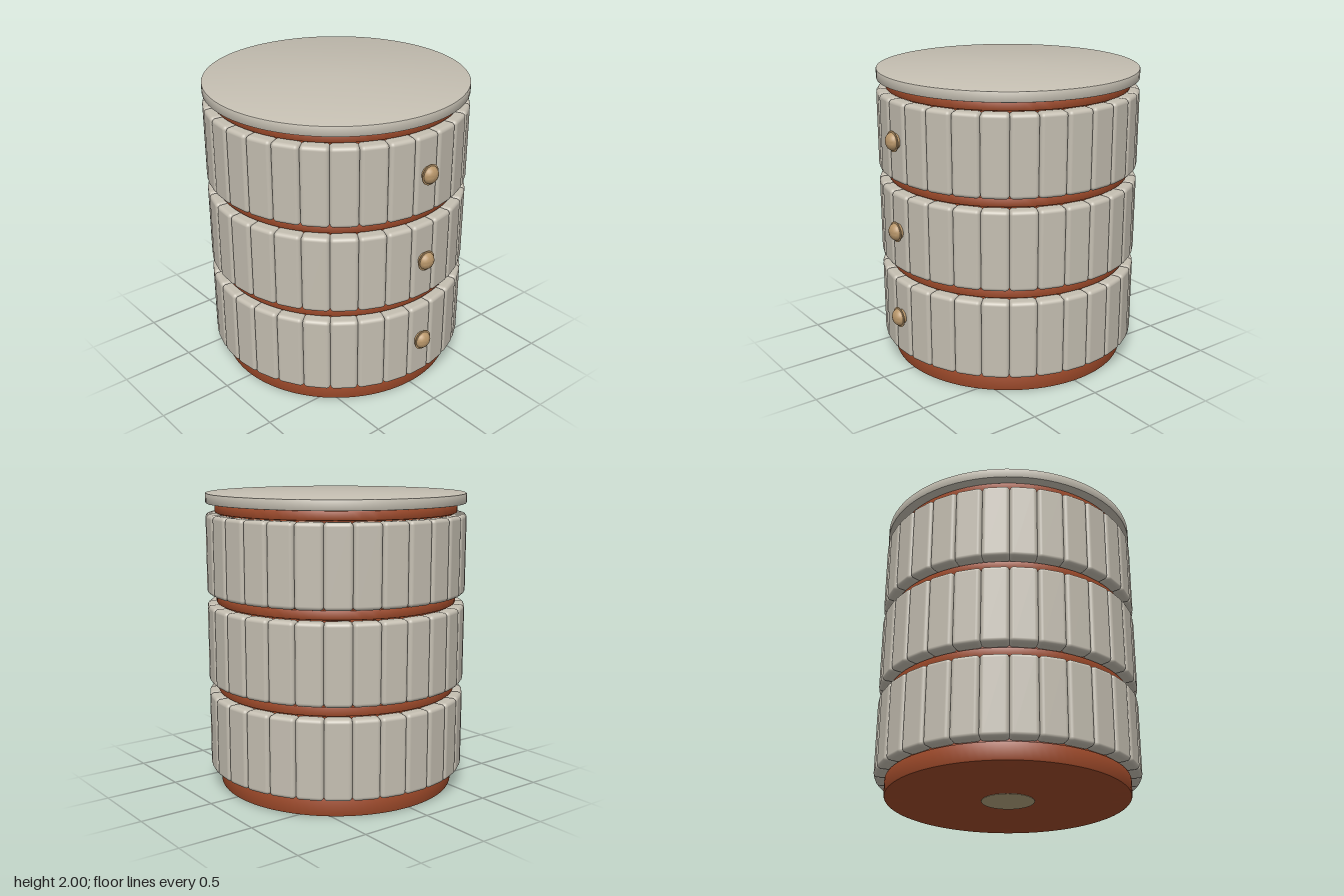
import * as THREE from 'three';
import { RoundedBoxGeometry } from 'three/addons/geometries/RoundedBoxGeometry.js';
import { toCreasedNormals } from 'three/addons/utils/BufferGeometryUtils.js';

const CENTRE_Z = -0.035;
const STAVES = 30;

function material(name, color) {
  const m = new THREE.MeshStandardMaterial({ color });
  m.name = name;
  return m;
}

// Solid disc with a small chamfer on both rims
function disc(radius, bottom, top, bevel) {
  const pts = [
    [0, bottom], [radius - bevel, bottom], [radius - bevel * 0.3, bottom + bevel * 0.3], [radius, bottom + bevel],
    [radius, top - bevel], [radius - bevel * 0.3, top - bevel * 0.3], [radius - bevel, top], [0, top],
  ].map(([x, y]) => new THREE.Vector2(x, y));
  return toCreasedNormals(new THREE.LatheGeometry(pts, 96), 0.6);
}

export function createModel() {
  const group = new THREE.Group();
  const paint = material('warm grey paint', 0xc4beb1);
  const wood = material('red brown wood', 0x9e4a2a);
  const brass = material('dull brass', 0xb8966a);
  const plugColor = material('khaki plug', 0xb3a27d);

  const body = new THREE.Group();
  body.name = 'body';
  body.position.z = CENTRE_Z;
  group.add(body);

  function add(parent, name, geometry, mat) {
    const mesh = new THREE.Mesh(geometry, mat);
    mesh.name = name;
    parent.add(mesh);
    return mesh;
  }

  // Base, inner core, wooden bands and lid
  add(body, 'base', disc(0.807, 0.003, 0.125, 0.012), wood);
  add(body, 'core', new THREE.CylinderGeometry(0.79, 0.79, 1.84, 64).translate(0, 1.03, 0), wood);
  for (const y of [0.695, 1.3, 1.9]) {
    add(body, 'band', disc(0.815, y - 0.03, y + 0.03, 0.007), wood);
  }
  add(body, 'lid', disc(0.875, 1.933, 2, 0.005), paint);

  // Round plug under the base
  add(body, 'plug', new THREE.CylinderGeometry(0.175, 0.175, 0.008, 48).translate(0, 0.004, 0), plugColor);

  // Knob profile: short neck, thin flange and dome
  const knobProfile = [
    [0, -0.03], [0.048, -0.03], [0.056, -0.004], [0.068, -0.003], [0.068, 0.003], [0.058, 0.004],
    [0.054, 0.016], [0.045, 0.028], [0.033, 0.036], [0.017, 0.042], [0, 0.044],
  ].map(([x, y]) => new THREE.Vector2(x, y));
  const knobGeometry = toCreasedNormals(new THREE.LatheGeometry(knobProfile, 32).rotateX(Math.PI / 2), 0.7);

  // Three drawers, each a ring of rounded staves with a knob in front
  const staveGeometry = new RoundedBoxGeometry(0.178, 0.53, 0.1, 4, 0.026).translate(0, 0, 0.825);
  [0.393, 0.998, 1.6].forEach((y) => {
    const drawer = new THREE.Group();
    drawer.name = 'drawer';
    drawer.position.y = y;
    body.add(drawer);
    for (let i = 0; i < STAVES; i++) {
      add(drawer, 'stave', staveGeometry, paint).rotation.y = (i / STAVES) * Math.PI * 2;
    }
    add(drawer, 'knob', knobGeometry, brass).position.set(0, 0.013, 0.866 - CENTRE_Z);
  });

  return group;
}
